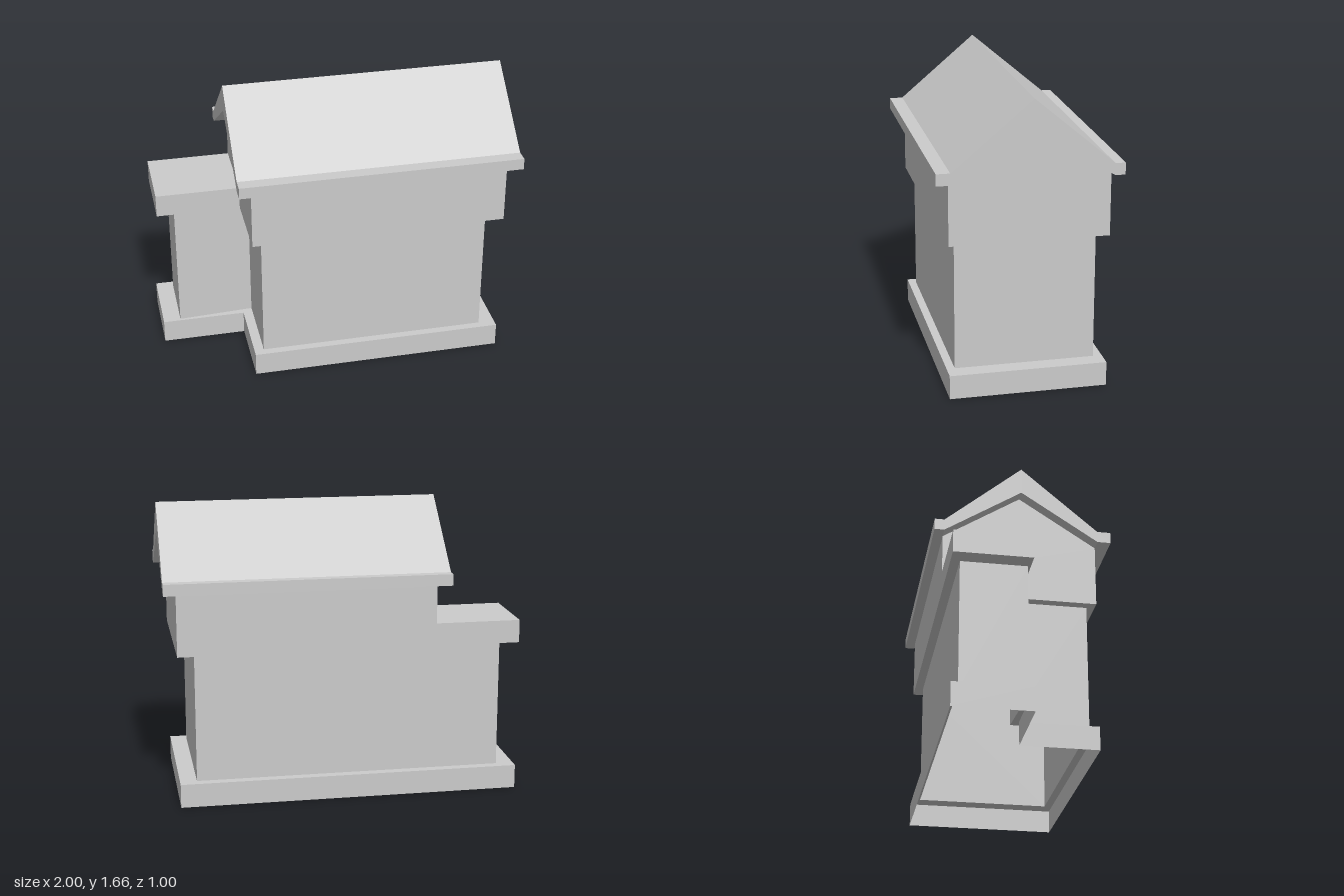
import * as THREE from 'three';

const material = new THREE.MeshStandardMaterial({ color: 0xcccccc, flatShading: true, side: THREE.DoubleSide });

// Floor plans as [x, z], an L shape: main block plus a narrow wing at -x
const outerPlan = [[0.93, -0.445], [-1, -0.445], [-1, -0.015], [-0.52, -0.015], [-0.52, 0.425], [0.93, 0.425]];
const wallPlan = [[0.835, -0.395], [-0.9, -0.395], [-0.9, -0.03], [-0.465, -0.055], [-0.465, 0.38], [0.835, 0.38]];
const mainPlan = [[0.93, -0.445], [-0.52, -0.445], [-0.52, 0.425], [0.93, 0.425]];

const ring = (plan, y) => plan.map(([x, z]) => [x, y, z]);

// Open shell through a stack of rings, plus optional extra polygons (fans)
function shell(name, rings, polygons = []) {
  const positions = [];
  const face = (pts) => {
    for (let i = 1; i < pts.length - 1; i++) positions.push(...pts[0], ...pts[i], ...pts[i + 1]);
  };
  for (let r = 0; r < rings.length - 1; r++) {
    const low = rings[r], high = rings[r + 1];
    low.forEach((p, i) => {
      const j = (i + 1) % low.length;
      face([p, low[j], high[j], high[i]]);
    });
  }
  polygons.forEach(face);
  const geometry = new THREE.BufferGeometry();
  geometry.setAttribute('position', new THREE.Float32BufferAttribute(positions, 3));
  geometry.computeVertexNormals();
  const mesh = new THREE.Mesh(geometry, material);
  mesh.name = name;
  return mesh;
}

export function createModel() {
  const group = new THREE.Group();
  group.name = 'house';

  // Hollow plinth with a ledge on top, open underneath
  group.add(shell('plinth', [ring(outerPlan, 0), ring(outerPlan, 0.135), ring(wallPlan, 0.135)]));

  // Recessed lower walls
  group.add(shell('lowerWalls', [ring(wallPlan, 0.135), ring(wallPlan, 0.87)]));

  // Overhanging band around both blocks
  group.add(shell('upperBand', [ring(wallPlan, 0.87), ring(outerPlan, 0.87), ring(outerPlan, 1)]));

  // Flat roof over the wing
  group.add(shell('wingRoof', [], [
    [[-1, 1, -0.445], [-1, 1, -0.015], [-0.52, 1, -0.015], [-0.52, 1, -0.445]],
  ]));

  // Upper walls of the main block with gable ends
  group.add(shell('gableWalls', [ring(mainPlan, 1), ring(mainPlan, 1.225)], [
    [[0.93, 1.225, 0.425], [0.93, 1.225, -0.445], [0.93, 1.505, -0.01]],
    [[-0.52, 1.225, -0.445], [-0.52, 1.225, 0.425], [-0.52, 1.505, -0.01]],
  ]));

  // Pitched roof: profile drawn as (-z, y), extruded along x
  const profile = new THREE.Shape([
    [-0.5, 1.225], [-0.425, 1.225], [0.01, 1.505], [0.445, 1.225], [0.5, 1.225],
    [0.5, 1.29], [0.445, 1.29], [0.01, 1.658], [-0.425, 1.29], [-0.5, 1.29],
  ].map(([u, y]) => new THREE.Vector2(u, y)));
  const roofGeometry = new THREE.ExtrudeGeometry(profile, { depth: 1.595, bevelEnabled: false });
  roofGeometry.rotateY(Math.PI / 2).translate(-0.595, 0, 0);
  const roof = new THREE.Mesh(roofGeometry, material);
  roof.name = 'pitchedRoof';
  group.add(roof);

  return group;
}
